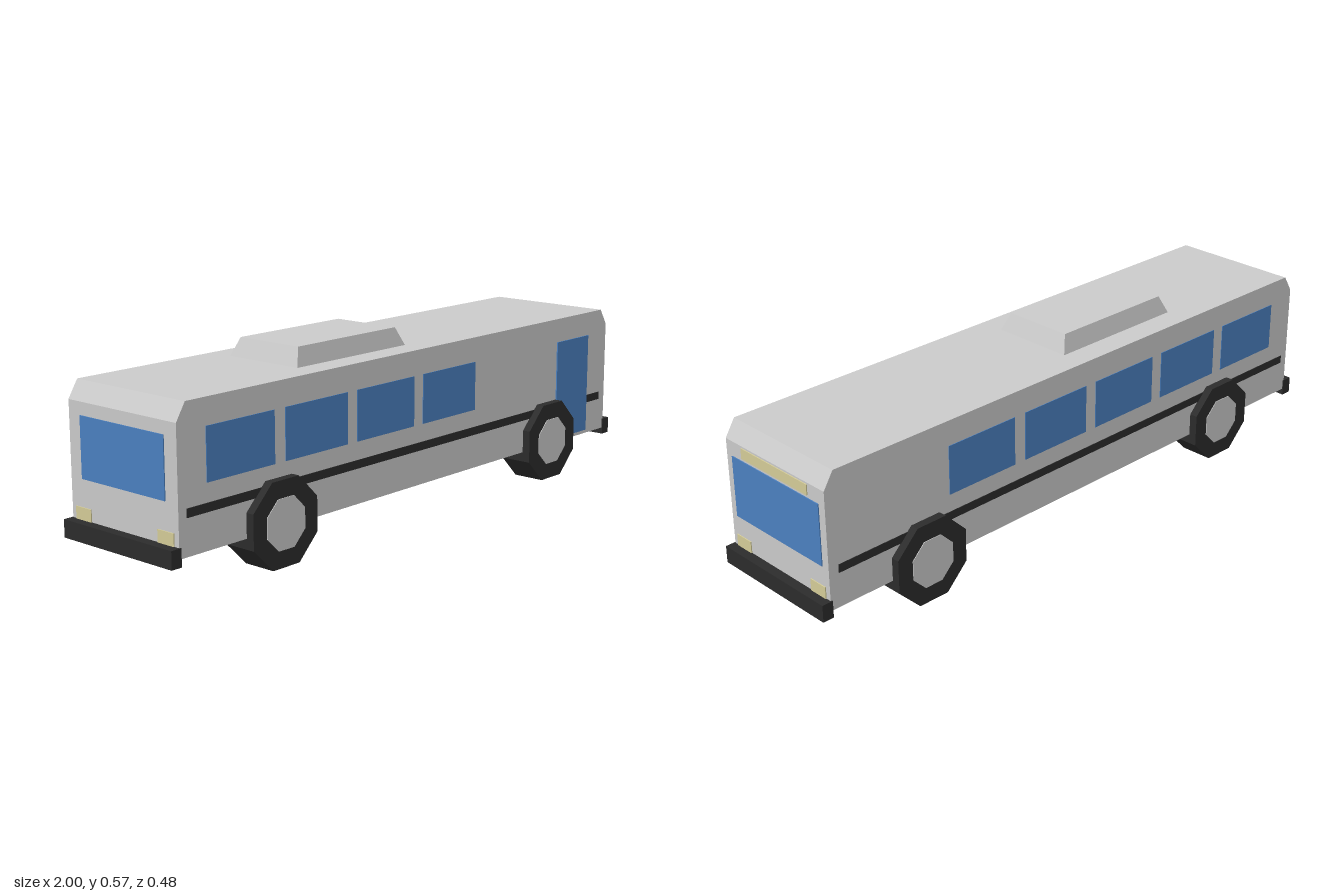
import * as THREE from 'three';

const mat = (name, color) => {
  const m = new THREE.MeshStandardMaterial({ color });
  m.name = name;
  return m;
};

export function createModel() {
  const bus = new THREE.Group();
  bus.name = 'bus';
  const paint = mat('bodyGrey', 0xcacaca);
  const glass = mat('glassBlue', 0x4b80c0);
  const black = mat('rubberBlack', 0x2c2c2c);
  const lamp = mat('lampYellow', 0xd4cc98);
  black.flatShading = true;
  paint.flatShading = true;

  const add = (name, geometry, material, parent = bus) => {
    const mesh = new THREE.Mesh(geometry, material);
    mesh.name = name;
    parent.add(mesh);
    return mesh;
  };
  // Box given by its limits on each axis
  const block = (name, material, [x0, x1], [y0, y1], [z0, z1]) =>
    add(name, new THREE.BoxGeometry(x1 - x0, y1 - y0, z1 - z0), material)
      .position.set((x0 + x1) / 2, (y0 + y1) / 2, (z0 + z1) / 2);

  const L = 0.97, W = 0.212, floor = 0.103, roof = 0.513;

  // Body: side profile with bevelled roof ends, extruded across the width
  const profile = new THREE.Shape([
    [-L, floor], [L, floor], [L, 0.462], [0.938, roof], [-0.938, roof], [-L, 0.462],
  ].map(([x, y]) => new THREE.Vector2(x, y)));
  const body = new THREE.ExtrudeGeometry(profile, { depth: 2 * W, bevelEnabled: false });
  body.translate(0, 0, -W);
  add('body', body, paint);

  // Roof unit: box with its top drawn in
  const unit = new THREE.BoxGeometry(0.46, 0.054, 0.266);
  const p = unit.attributes.position;
  for (let i = 0; i < p.count; i++) {
    if (p.getY(i) > 0) p.setXYZ(i, p.getX(i) * 0.9, p.getY(i), p.getZ(i) * 0.85);
  }
  unit.computeVertexNormals();
  add('roofUnit', unit, paint).position.set(-0.216, roof + 0.027, 0);

  // Side plates: stripe, windows and door
  const plate = (name, material, side, xs, ys, out) =>
    block(name, material, xs, ys, side > 0 ? [W - 0.002, W + out] : [-W - out, -W + 0.002]);
  for (const side of [1, -1]) {
    plate('stripe', black, side, [-0.942, 0.938], [0.208, 0.233], 0.002);
    const count = side > 0 ? 4 : 5;
    for (let i = 0; i < count; i++) {
      const x = -0.87 + i * 0.291;
      plate('sideWindow', glass, side, [x, x + 0.25], [0.287, 0.437], 0.002);
    }
  }
  plate('door', glass, 1, [0.687, 0.862], [0.115, 0.437], 0.004);

  // End plates: windscreen, sign, rear window and lamps
  const front = [L - 0.002, L + 0.003], rear = [-L - 0.003, -L + 0.002];
  block('windscreen', glass, front, [0.231, 0.417], [-0.187, 0.187]);
  block('destinationSign', lamp, front, [0.425, 0.457], [-0.142, 0.142]);
  block('rearWindow', glass, rear, [0.25, 0.425], [-0.165, 0.165]);
  for (const end of [front, rear]) {
    block('lamp', lamp, end, [0.133, 0.17], [0.133, 0.195]);
    block('lamp', lamp, end, [0.133, 0.17], [-0.195, -0.133]);
  }

  // Bumpers
  block('frontBumper', black, [0.965, 1], [0.082, 0.134], [-0.215, 0.215]);
  block('rearBumper', black, [-1, -0.965], [0.082, 0.134], [-0.215, 0.215]);

  // Octagonal wheels standing on a flat, with hub plates outside
  const octagon = (apothem, depth) =>
    new THREE.CylinderGeometry(apothem / Math.cos(Math.PI / 8), apothem / Math.cos(Math.PI / 8), depth, 8)
      .rotateY(Math.PI / 8).rotateX(Math.PI / 2);
  const tyre = octagon(0.1235, 0.105), hub = octagon(0.073, 0.004);
  for (const x of [-0.606, 0.634]) {
    for (const side of [1, -1]) {
      const wheel = new THREE.Group();
      wheel.name = 'wheel';
      wheel.position.set(x, 0.1235, side * 0.1855);
      add('tyre', tyre, black, wheel);
      add('hub', hub, paint, wheel).position.z = side * 0.0525;
      bus.add(wheel);
    }
  }
  return bus;
}
